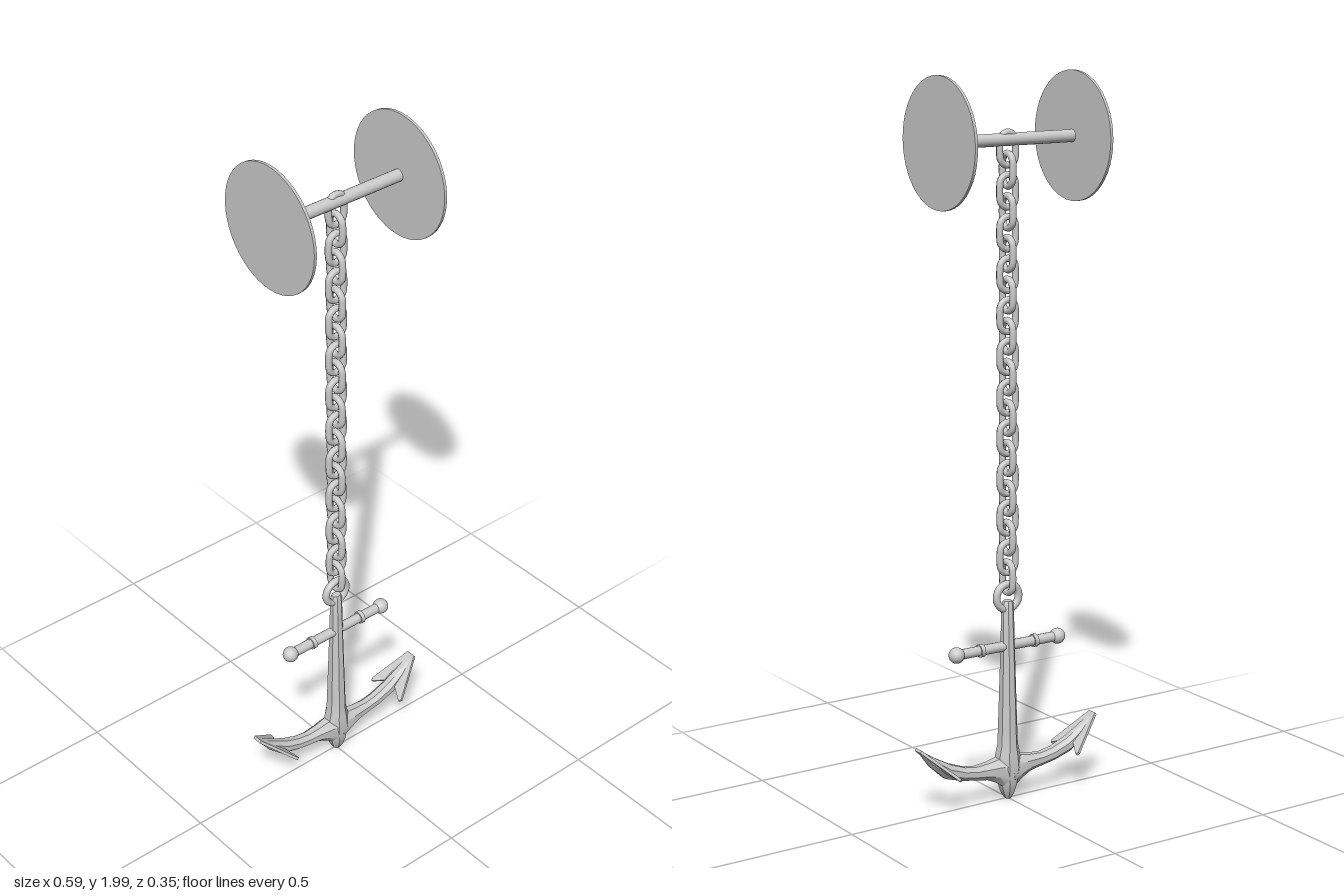
import * as THREE from 'three';
import { toCreasedNormals } from 'three/addons/utils/BufferGeometryUtils.js';

const material = new THREE.MeshStandardMaterial({ color: 0xcccccc });

function add(parent, name, geometry, x = 0, y = 0, z = 0) {
  const mesh = new THREE.Mesh(geometry, material);
  mesh.name = name;
  mesh.position.set(x, y, z);
  parent.add(mesh);
  return mesh;
}

// Closed skin over elliptical sections [x, y, halfWidth, halfDepth] whose spine lies in the xy plane
function loft(sections, sides = 8) {
  const pos = [], index = [];
  const last = sections.length - 1;
  sections.forEach(([x, y, w, d], i) => {
    const a = sections[Math.max(i - 1, 0)], b = sections[Math.min(i + 1, last)];
    const t = new THREE.Vector2(b[0] - a[0], b[1] - a[1]).normalize();
    for (let j = 0; j < sides; j++) {
      const angle = ((j + 0.5) / sides) * Math.PI * 2;
      const u = Math.cos(angle) * w * 1.06, v = Math.sin(angle) * d * 1.06;
      pos.push(x - t.y * u, y + t.x * u, v);
    }
  });
  for (let i = 0; i < last; i++) {
    for (let j = 0; j < sides; j++) {
      const k = (j + 1) % sides;
      const a = i * sides + j, b = i * sides + k;
      index.push(a, b, b + sides, a, b + sides, a + sides);
    }
  }
  for (let j = 1; j < sides - 1; j++) {
    index.push(0, j + 1, j);
    index.push(last * sides, last * sides + j, last * sides + j + 1);
  }
  const g = new THREE.BufferGeometry();
  g.setAttribute('position', new THREE.Float32BufferAttribute(pos, 3));
  g.setIndex(index);
  return toCreasedNormals(g, 0.6);
}

// Oval chain link: two half circles joined by straight sides
function linkGeometry(halfWidth, halfStraight, wire) {
  const points = [];
  for (let i = 0; i < 16; i++) {
    const side = i < 8 ? 1 : -1;
    const a = ((i % 8) / 7) * Math.PI + (i < 8 ? 0 : Math.PI);
    points.push(new THREE.Vector3(Math.cos(a) * halfWidth, Math.sin(a) * halfWidth + side * halfStraight, 0));
  }
  const path = new THREE.CatmullRomCurve3(points, true, 'centripetal');
  return new THREE.TubeGeometry(path, 40, wire, 8, true);
}

export function createModel() {
  const model = new THREE.Group();
  model.name = 'anchorOnChain';

  // Spool at the top
  const spool = new THREE.Group();
  spool.name = 'spool';
  spool.position.y = 1.826;
  model.add(spool);
  add(spool, 'axle', new THREE.CylinderGeometry(0.017, 0.017, 0.42, 20)).rotation.z = Math.PI / 2;
  for (const s of [-1, 1]) {
    add(spool, 'spoolDisc', new THREE.CylinderGeometry(0.174, 0.174, 0.008, 48), s * 0.211).rotation.z = Math.PI / 2;
  }

  // Chain, every other link turned a quarter
  const chain = new THREE.Group();
  chain.name = 'chain';
  model.add(chain);
  const link = linkGeometry(0.0245, 0.0185, 0.0095);
  for (let i = 0; i < 22; i++) {
    add(chain, 'chainLink', link, 0, 1.802 - i * 0.0553).rotation.y = (i % 2) * Math.PI / 2;
  }

  const anchor = new THREE.Group();
  anchor.name = 'anchor';
  model.add(anchor);
  add(anchor, 'ring', new THREE.TorusGeometry(0.036, 0.0105, 10, 32), 0, 0.586);

  // Shank with the pointed crown below
  add(anchor, 'shank', loft([
    [0, 0.008, 0.008, 0.01], [0, 0.025, 0.018, 0.021], [0, 0.055, 0.027, 0.03],
    [0, 0.1, 0.037, 0.034], [0, 0.135, 0.034, 0.031], [0, 0.165, 0.027, 0.028],
    [0, 0.22, 0.025, 0.027], [0, 0.4, 0.02, 0.021], [0, 0.5, 0.018, 0.017],
    [0, 0.565, 0.017, 0.014], [0, 0.575, 0.013, 0.011],
  ]));

  // Stock: crossbar with ball ends and collars
  const stock = new THREE.Group();
  stock.name = 'stock';
  stock.position.y = 0.447;
  anchor.add(stock);
  add(stock, 'crossbar', new THREE.CylinderGeometry(0.014, 0.014, 0.33, 16)).rotation.z = Math.PI / 2;
  for (const s of [-1, 1]) {
    add(stock, 'ballEnd', new THREE.SphereGeometry(0.022, 20, 14), s * 0.166);
    add(stock, 'collar', new THREE.CylinderGeometry(0.018, 0.018, 0.012, 16), s * 0.088).rotation.z = Math.PI / 2;
  }

  // Curved arms, each with a flat barbed fluke
  const armGeometry = loft([
    [0, 0.088, 0.05, 0.033], [0.04, 0.096, 0.034, 0.028], [0.07, 0.099, 0.024, 0.023],
    [0.11, 0.101, 0.019, 0.02], [0.15, 0.108, 0.019, 0.02], [0.2, 0.125, 0.021, 0.02],
    [0.245, 0.158, 0.014, 0.018], [0.288, 0.198, 0.003, 0.012],
  ]);
  const outline = new THREE.Shape([
    [0.128, -0.014], [0.128, 0.014], [0.002, 0.065], [-0.006, 0.06], [0.022, 0.018], [0.022, -0.018],
    [-0.006, -0.06], [0.002, -0.065],
  ].map(([x, y]) => new THREE.Vector2(x, y)));
  const flukeGeometry = new THREE.ExtrudeGeometry(outline, { depth: 0.008, bevelEnabled: false });
  flukeGeometry.translate(0, 0, -0.004).rotateX(-Math.PI / 2);
  for (const turn of [0, Math.PI]) {
    const side = new THREE.Group();
    side.name = turn ? 'rightArm' : 'leftArm';
    side.rotation.y = turn;
    anchor.add(side);
    add(side, 'arm', armGeometry);
    add(side, 'fluke', flukeGeometry, 0.195, 0.116).rotation.z = 0.73;
  }

  return model;
}
